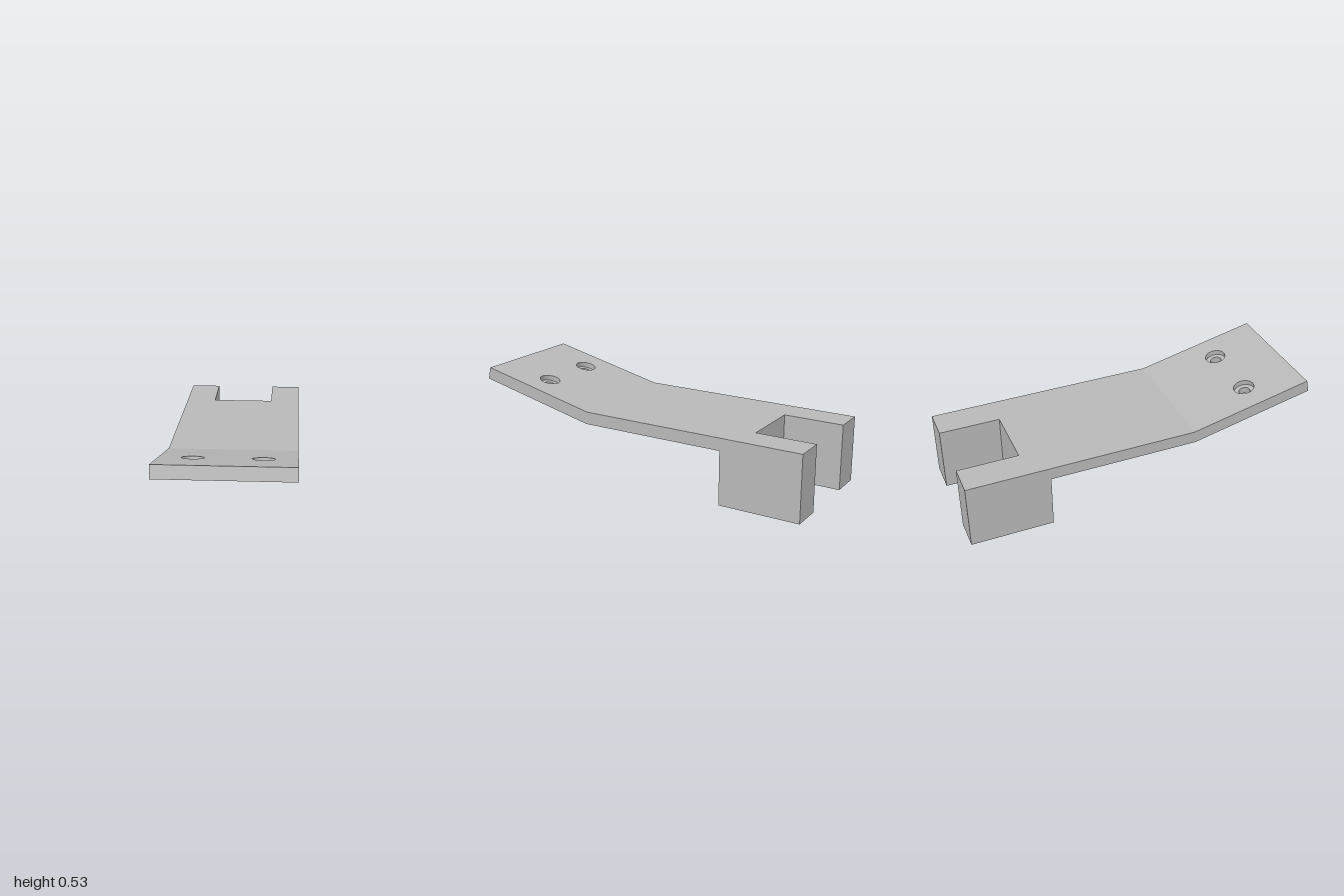
import * as THREE from 'three';

const HALF_W = 0.35, SLOT = 0.177;      // half widths of bracket and slot
const UNDER = 0.302, THICK = 0.07;      // plate underside height and thickness
const BACK = -1, SLOT_END = -0.66, BLOCK_FRONT = -0.54, BEND = 0.3;
const RAMP_LEN = 0.718, ANGLE = Math.atan2(0.16, 0.7);
const MITRE = Math.tan(ANGLE / 2);

const outline = (pts) => new THREE.Shape(pts.map(([x, y]) => new THREE.Vector2(x, y)));

function addHole(shape, x, y, r) {
  const hole = new THREE.Path();
  hole.absarc(x, y, r, 0, Math.PI * 2, true);
  shape.holes.push(hole);
}

const extrude = (shape, depth) =>
  new THREE.ExtrudeGeometry(shape, { depth, bevelEnabled: false, curveSegments: 24 });

// Lays an (x, -z) outline flat, thickened upwards from height y0
const slab = (shape, y0, depth) => extrude(shape, depth).rotateX(-Math.PI / 2).translate(0, y0, 0);

// Slants the end lying at zEnd so that the two plates meet on a mitre
function mitre(geo, zEnd, yBase, amount) {
  const p = geo.attributes.position;
  for (let i = 0; i < p.count; i++) {
    if (Math.abs(p.getZ(i) - zEnd) < 1e-4) p.setZ(i, zEnd + (p.getY(i) - yBase) * amount);
  }
  geo.computeVertexNormals();
  return geo;
}

export function createModel() {
  const model = new THREE.Group();
  model.name = 'bracket';
  const grey = new THREE.MeshStandardMaterial({ color: 0xb8b8b8 });
  grey.name = 'plain grey';
  const add = (name, geo) => {
    const mesh = new THREE.Mesh(geo, grey);
    mesh.name = name;
    model.add(mesh);
    return mesh;
  };

  // Flat plate with the slot cut into its back end
  const plate = outline([
    [-HALF_W, -BEND], [HALF_W, -BEND], [HALF_W, -BACK], [SLOT, -BACK],
    [SLOT, -SLOT_END], [-SLOT, -SLOT_END], [-SLOT, -BACK], [-HALF_W, -BACK],
  ]);
  add('flatPlate', mitre(slab(plate, UNDER, THICK), BEND, UNDER, -MITRE));

  // Sloping plate in two layers: narrow bolt holes below, wide counterbores above
  const bore = 0.032;
  const ledge = 0.04;
  const ramp = new THREE.Group();
  ramp.name = 'slopingPlate';
  ramp.position.set(0, UNDER, BEND);
  ramp.rotation.x = -ANGLE;
  model.add(ramp);
  for (const [name, y0, depth, r] of [
    ['boltHoleLayer', 0, ledge, bore],
    ['counterboreLayer', ledge, THICK - ledge, 0.058],
  ]) {
    const shape = outline([[-HALF_W, -RAMP_LEN], [HALF_W, -RAMP_LEN], [HALF_W, 0], [-HALF_W, 0]]);
    for (const side of [-1, 1]) addHole(shape, side * SLOT, -0.408, r);
    ramp.add(add(name, mitre(slab(shape, y0, depth), 0, 0, MITRE)));
  }

  // Cross wall of the block, pierced front to back
  const wall = outline([[-HALF_W, 0], [HALF_W, 0], [HALF_W, UNDER], [-HALF_W, UNDER]]);
  addHole(wall, 0.002, 0.072, 0.034);
  add('crossWall', extrude(wall, BLOCK_FRONT - SLOT_END).translate(0, 0, SLOT_END));

  // Two prongs either side of the slot
  for (const [name, side] of [['leftProng', 1], ['rightProng', -1]]) {
    const prong = new THREE.BoxGeometry(HALF_W - SLOT, UNDER, SLOT_END - BACK);
    add(name, prong).position.set(side * (HALF_W + SLOT) / 2, UNDER / 2, (BACK + SLOT_END) / 2);
  }
  return model;
}
